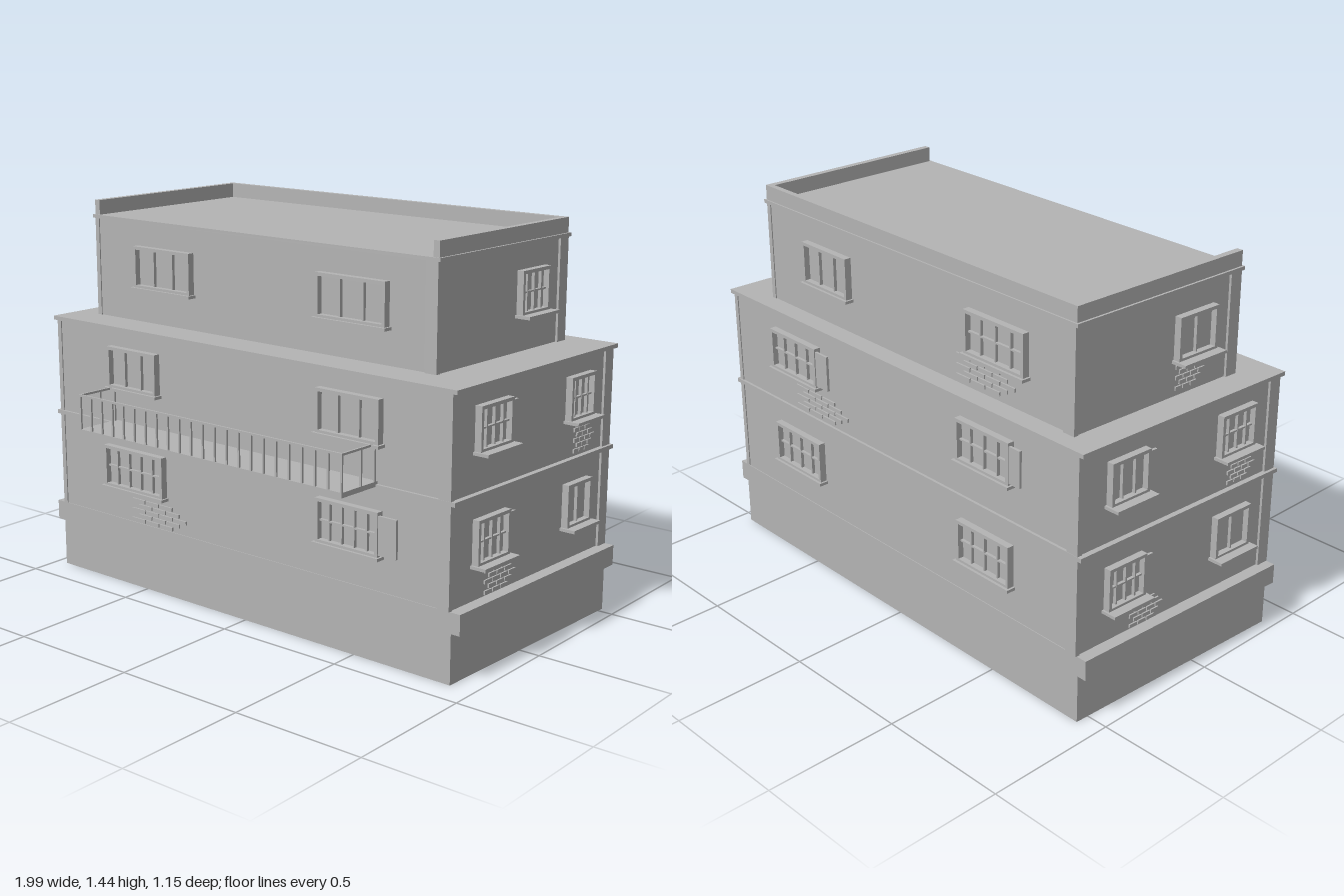
import * as THREE from 'three';
import { mergeGeometries } from 'three/addons/utils/BufferGeometryUtils.js';

const SIDES = ['front', 'right', 'back', 'left'];
const [FRONT, RIGHT, BACK, LEFT] = [0, 1, 2, 3];
// distance from the centre to each outer wall, in the order of SIDES
const LOWER = [0.46, 0.92, 0.46, 0.92];
const UPPER = [0.333, 0.759, 0.397, 0.831];
// wall coordinate (rightwards seen from outside) from a plan coordinate
const ALONG = [w => w + 0.022, w => -(w + 0.063), w => 0.015 - w, w => w + 0.087];
// window sill and head heights of each storey
const SILL = [0.38, 0.768, 1.13], HEAD = [0.54, 0.925, 1.287];

export function createModel() {
  const group = new THREE.Group();
  const plaster = new THREE.MeshStandardMaterial({ color: 0xb4b4b4 });
  plaster.name = 'grey plaster';

  // The plan is slightly skewed, so every part passes through this shear
  const skew = new THREE.Matrix4().makeShear(0, 0.013, 0, 0, -0.043, 0).setPosition(-0.005, 0, -0.075);

  const box = (x0, x1, y0, y1, z0, z1) =>
    new THREE.BoxGeometry(x1 - x0, y1 - y0, z1 - z0)
      .translate((x0 + x1) / 2, (y0 + y1) / 2, (z0 + z1) / 2);

  function add(name, parts, side = FRONT) {
    const geometry = mergeGeometries(parts);
    geometry.rotateY(side * Math.PI / 2).applyMatrix4(skew);
    const mesh = new THREE.Mesh(geometry, plaster);
    mesh.name = name;
    group.add(mesh);
  }

  // A storey-sized block from wall distances, grown outwards by gu and gv
  const block = (d, y0, y1, gu = 0, gv = gu) =>
    box(-d[LEFT] - gu, d[RIGHT] + gu, y0, y1, -d[BACK] - gv, d[FRONT] + gv);

  // Main masses
  add('plinth', [block(LOWER, 0, 0.18, 0.01, 0.003)]);
  add('plinthLedge', [block(LOWER, 0.18, 0.255, 0.045, 0.003)]);
  add('lowerWalls', [block(LOWER, 0.255, 0.985)]);
  add('stringCourse', [block(LOWER, 0.615, 0.63, 0.02, 0.01)]);
  add('terraceSlab', [block(LOWER, 0.985, 1.0, 0.022, 0.011)]);
  add('upperWalls', [block(UPPER, 1.0, 1.372)]);
  add('roofSlab', [block(UPPER, 1.372, 1.385, 0.014, 0.012)]);

  // Parapet on the back and both ends, open at the front
  const [pf, pr, pb, pl] = UPPER.map(d => d + 0.006);
  add('parapet', [
    box(-pl, pr, 1.385, 1.44, -pb, -pb + 0.022),
    box(-pl, -pl + 0.024, 1.385, 1.44, -pb + 0.022, pf),
    box(pr - 0.024, pr, 1.385, 1.44, -pb + 0.022, pf)
  ]);

  // A corner strip at the right-hand end of every wall
  SIDES.forEach((name, i) => {
    for (const [d, y0, y1] of [[LOWER, 0.255, 0.615], [LOWER, 0.63, 0.985], [UPPER, 1.0, 1.372]]) {
      const end = d[(i + 1) % 4];
      add(name + 'CornerStrip', [box(end - 0.045, end + 0.004, y0, y1, d[i] - 0.01, d[i] + 0.009)], i);
    }
  });

  // Wall distance and sorted ends of a span on one side of a storey
  function span(side, storey, a, b) {
    const [s0, s1] = [ALONG[side](a), ALONG[side](b)].sort((p, q) => p - q);
    return { wall: (storey === 2 ? UPPER : LOWER)[side], s0, s1 };
  }

  // Framed window with a sill; wide ones get a crossbar, some an open shutter
  function addWindow(side, storey, a, b, cols, shutter = 0) {
    const { wall, s0, s1 } = span(side, storey, a, b);
    const y0 = SILL[storey], y1 = HEAD[storey];
    const t = 0.012, out = wall + 0.026, bar = 0.003;
    const sill = wall + (side % 2 ? 0.06 : 0.036);
    const parts = [
      box(s0, s0 + t, y0, y1, wall - 0.01, out),
      box(s1 - t, s1, y0, y1, wall - 0.01, out),
      box(s0 + t, s1 - t, y1 - t, y1, wall - 0.01, out),
      box(s0 + t, s1 - t, y0, y0 + t, wall - 0.01, out),
      box(s0 - 0.008, s1 + 0.008, y0 - 0.008, y0 + 0.003, wall - 0.01, sill),
      box(s0 + t, s1 - t, y0 + t, y1 - t, wall - 0.01, wall + 0.004)
    ];
    for (let c = 1; c < cols; c++) {
      const s = s0 + (s1 - s0) * c / cols;
      parts.push(box(s - bar, s + bar, y0 + t, y1 - t, wall, wall + 0.016));
    }
    if (cols > 3) {
      const y = (y0 + y1) / 2;
      parts.push(box(s0 + t, s1 - t, y - bar, y + bar, wall, wall + 0.015));
    }
    add(SIDES[side] + 'Window', parts, side);
    if (shutter) {
      add(SIDES[side] + 'Shutter',
        [box(s1, s1 + shutter, y0 + 0.01, y1 - 0.012, wall + 0.012, wall + 0.022)], side);
    }
  }

  // Lower two storeys share most window positions
  for (const storey of [0, 1]) {
    const upper = storey === 1;
    addWindow(FRONT, storey, upper ? -0.66 : -0.69, upper ? -0.41 : -0.385, upper ? 3 : 5);
    addWindow(FRONT, storey, 0.35, 0.62, upper ? 3 : 5, upper ? 0 : 0.075);
    addWindow(RIGHT, storey, 0.28, 0.1, 4, 0.03);
    addWindow(RIGHT, storey, -0.245, -0.395, upper ? 4 : 2);
    addWindow(BACK, storey, 0.69, 0.42, 4, upper ? 0.065 : 0);
    addWindow(BACK, storey, -0.345, -0.605, 4, upper ? 0.05 : 0);
    addWindow(LEFT, storey, -0.43, -0.26, upper ? 3 : 4, 0.03);
    addWindow(LEFT, storey, 0.08, 0.25, upper ? 4 : 2);
  }

  // Top storey windows
  addWindow(FRONT, 2, -0.64, -0.355, 3);
  addWindow(FRONT, 2, 0.24, 0.54, 3);
  addWindow(RIGHT, 2, -0.17, -0.335, 4);
  addWindow(BACK, 2, 0.55, 0.3, 3);
  addWindow(BACK, 2, -0.32, -0.605, 4);
  addWindow(LEFT, 2, -0.05, 0.13, 2);

  // Patches of exposed brick in five staggered rows
  function addBricks(side, storey, a, b) {
    const { wall, s0, s1 } = span(side, storey, a, b);
    const base = [0.26, 0.642, 1.02][storey];
    const length = (s1 - s0) / 4, pitch = 0.019, parts = [];
    for (let row = 0; row < 5; row++) {
      const shift = row % 2 ? 0.5 : 0;
      const count = row === 2 ? 4 : 3;
      for (let i = 0; i < count; i++) {
        const s = s0 + (i + shift) * length, y = base + row * pitch;
        parts.push(box(s, s + length - 0.005, y, y + pitch - 0.005, wall - 0.005, wall + 0.006));
      }
    }
    add(SIDES[side] + 'Bricks', parts, side);
  }
  addBricks(FRONT, 0, -0.565, -0.28);
  addBricks(RIGHT, 0, 0.21, 0.03);
  addBricks(RIGHT, 1, -0.3, -0.435);
  addBricks(BACK, 1, 0.57, 0.26);
  addBricks(BACK, 2, -0.26, -0.55);
  addBricks(LEFT, 0, -0.31, -0.15);
  addBricks(LEFT, 1, 0.14, 0.28);
  addBricks(LEFT, 2, -0.04, 0.1);

  // Balcony: slab, handrails and thin balusters
  const half = 0.62, bz0 = 0.45, bz1 = 0.641, r = 0.0035;
  add('balconySlab', [box(-half, half, 0.622, 0.64, bz0, bz1)]);
  const rails = [
    box(-half, half, 0.764, 0.772, bz1 - 2 * r, bz1),
    box(-half, -half + 2 * r, 0.764, 0.772, bz0, bz1),
    box(half - 2 * r, half, 0.764, 0.772, bz0, bz1)
  ];
  const post = (x, z) => rails.push(box(x - r, x + r, 0.64, 0.765, z - r, z + r));
  const gaps = 22, reach = half - r;
  for (let i = 0; i <= gaps; i++) post(reach * (2 * i / gaps - 1), bz1 - r);
  for (const x of [-reach, reach]) for (const z of [0.472, 0.542]) post(x, z);
  add('balconyRailing', rails);

  return group;
}
